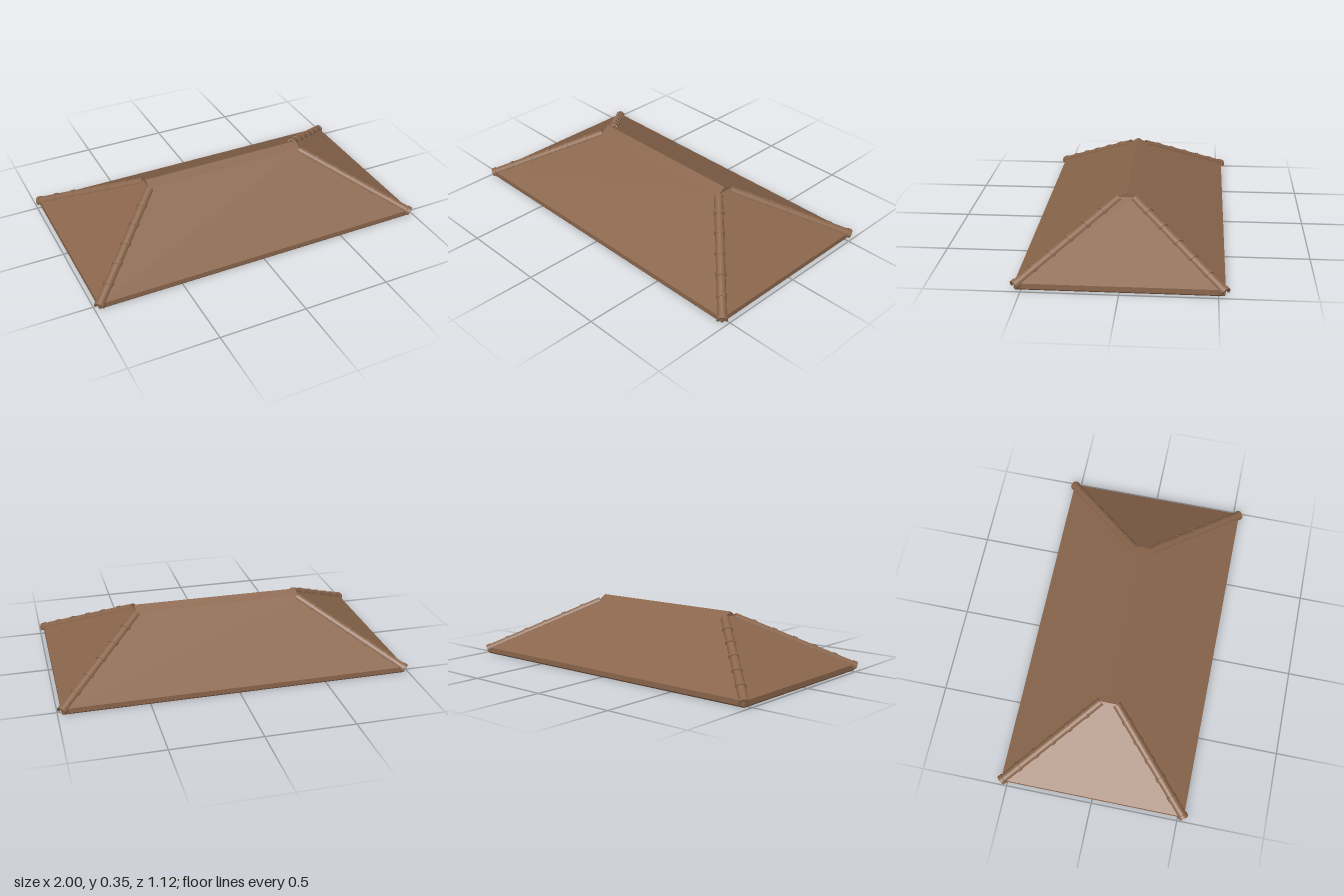
import * as THREE from 'three';

const brown = new THREE.MeshStandardMaterial({ color: 0x8a664c });
brown.name = 'roof brown';

// Flat-shaded geometry from a list of convex faces, corners anticlockwise
function facesGeometry(faces) {
  const pos = [];
  for (const f of faces)
    for (let i = 1; i < f.length - 1; i++) pos.push(...f[0], ...f[i], ...f[i + 1]);
  const g = new THREE.BufferGeometry();
  g.setAttribute('position', new THREE.Float32BufferAttribute(pos, 3));
  g.computeVertexNormals();
  return g;
}

// Rectangle corners at height y, running anticlockwise seen from below
const ring = ([x, y, z]) => [[x, y, z], [-x, y, z], [-x, y, -z], [x, y, -z]];

// Skin of quads between stacked rectangles
function stack(levels) {
  const faces = [];
  for (let l = 0; l < levels.length - 1; l++) {
    const a = ring(levels[l]), b = ring(levels[l + 1]);
    for (let i = 0; i < 4; i++) {
      const j = (i + 1) % 4;
      faces.push([a[j], a[i], b[i], b[j]]);
    }
  }
  return faces;
}

// Arched tile section extruded along +z
function archGeometry(outer, inner, length) {
  const a0 = -0.35, a1 = Math.PI + 0.35;
  const s = new THREE.Shape();
  s.absarc(0, 0, outer, a0, a1, false);
  s.absarc(0, 0, inner, a1, a0, true);
  s.closePath();
  return new THREE.ExtrudeGeometry(s, { depth: length, bevelEnabled: false, curveSegments: 10 });
}

export function createModel() {
  const model = new THREE.Group();
  model.name = 'hipRoof';
  const add = (parent, geometry, name) => {
    const m = new THREE.Mesh(geometry, brown);
    m.name = name;
    parent.add(m);
    return m;
  };

  const eave = [0.978, 0.036, 0.535], top = [0.485, 0.328, 0.048], ridgeY = 0.355;
  const foot = [0.972, 0, 0.529], lip = [0.978, 0.008, 0.535];

  // Eave slab with a small bottom chamfer and a closed underside
  add(model, facesGeometry([...stack([foot, lip, eave]), ring(foot)]), 'eaveSlab');

  // Four sloping roof planes
  add(model, facesGeometry(stack([eave, top])), 'roofSlopes');

  // Ridge cap with small upright gable ends
  const [tx, ty, tz] = top;
  const L = [-tx, ridgeY, 0], R = [tx, ridgeY, 0];
  const [fr, fl, bl, br] = ring(top);
  add(model, facesGeometry([[fl, fr, R, L], [br, bl, L, R], [fr, br, R], [bl, fl, L]]), 'ridgeCap');

  // Rows of overlapping arched tiles down each hip
  const count = 6;
  for (const sx of [1, -1]) for (const sz of [1, -1]) {
    const start = new THREE.Vector3(sx * tx, ty, sz * tz);
    const end = new THREE.Vector3(sx * eave[0], eave[1], sz * eave[2]);
    const dir = end.clone().sub(start);
    const length = dir.length() + 0.006, pitch = length / count;
    dir.normalize();
    const side = new THREE.Vector3(0, 1, 0).cross(dir).normalize();
    const up = dir.clone().cross(side);
    const hip = new THREE.Group();
    hip.name = (sz > 0 ? 'front' : 'back') + (sx > 0 ? 'Left' : 'Right') + 'HipTiles';
    hip.quaternion.setFromRotationMatrix(new THREE.Matrix4().makeBasis(side, up, dir));
    hip.position.copy(start).addScaledVector(up, -0.012);
    for (let i = 0; i < count; i++) {
      add(hip, archGeometry(0.025, 0.017, pitch), 'hipTile').position.z = i * pitch;
      add(hip, archGeometry(0.029, 0.02, 0.022), 'hipTileCollar').position.z = (i + 1) * pitch - 0.022;
    }
    model.add(hip);
  }
  return model;
}
